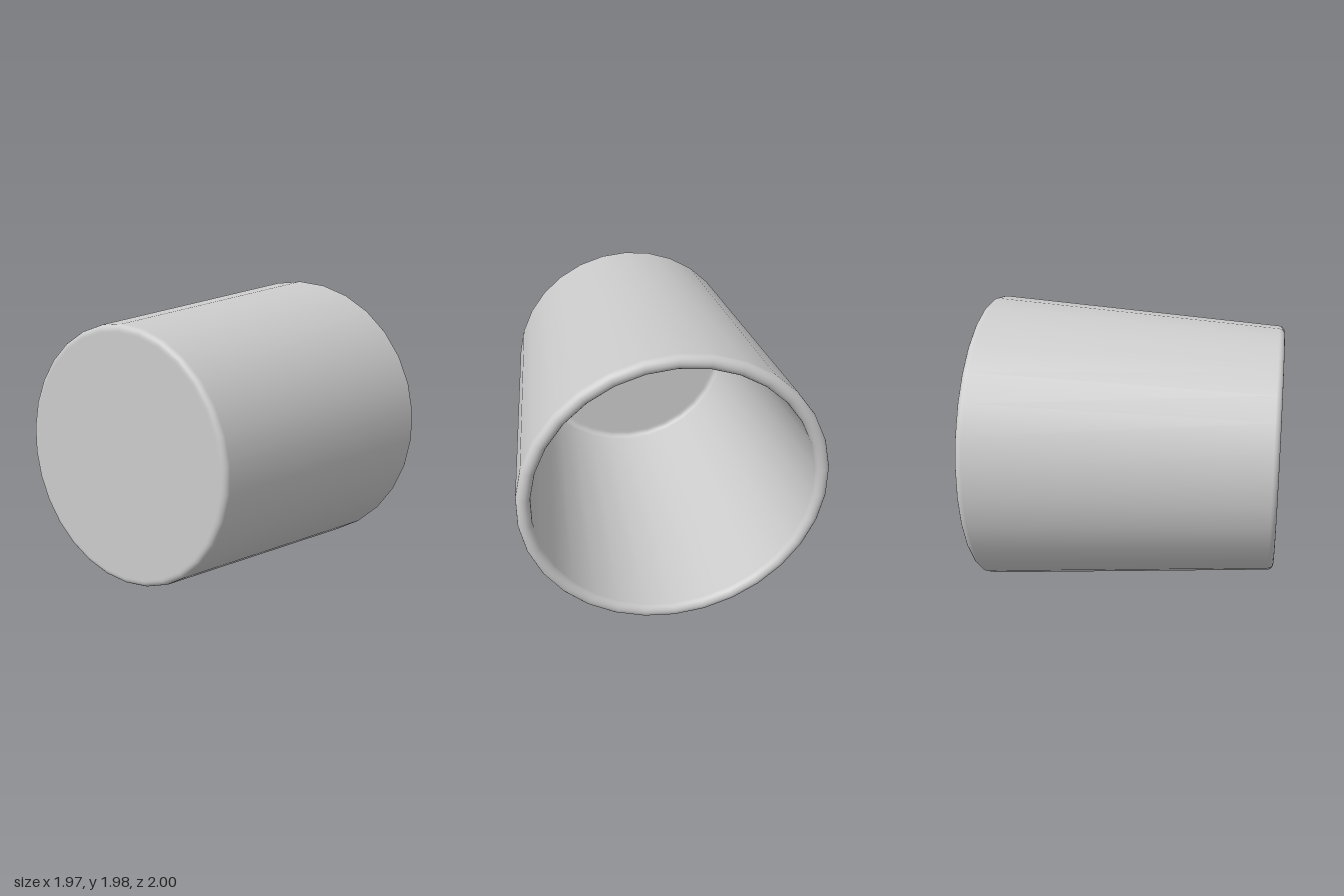
import * as THREE from 'three';

const SIDES = 30;
const LEAN = Math.atan(0.15 / 1.915); // slope of the tapered wall

// Points along a rounded corner of the profile
function corner(cx, cy, r, from, to, steps) {
  return Array.from({ length: steps + 1 }, (_, i) => {
    const a = from + ((to - from) * i) / steps;
    return new THREE.Vector2(cx + r * Math.cos(a), cy + r * Math.sin(a));
  });
}

export function createModel() {
  const group = new THREE.Group();
  group.name = 'cup';

  // Closed wall profile: base, outer wall, rolled rim, inner wall, floor
  const profile = [
    new THREE.Vector2(0, -1),
    new THREE.Vector2(0.79, -1),
    ...corner(0.8, -0.96, 0.04, -Math.PI / 2, -LEAN, 5),
    ...corner(0.945, 0.955, 0.045, -LEAN, Math.PI - LEAN, 10),
    ...corner(0.715, -0.86, 0.04, -LEAN, -Math.PI / 2, 5),
    new THREE.Vector2(0.7, -0.9),
    new THREE.Vector2(0, -0.9),
  ];

  const cup = new THREE.Mesh(
    new THREE.LatheGeometry(profile, SIDES),
    new THREE.MeshStandardMaterial({ color: 0xcccccc })
  );
  cup.name = 'cupBody';
  // Lay the cup on its side: base to the front, mouth to the back
  cup.rotation.x = -Math.PI / 2;
  cup.position.y = 0.99;
  group.add(cup);

  return group;
}
